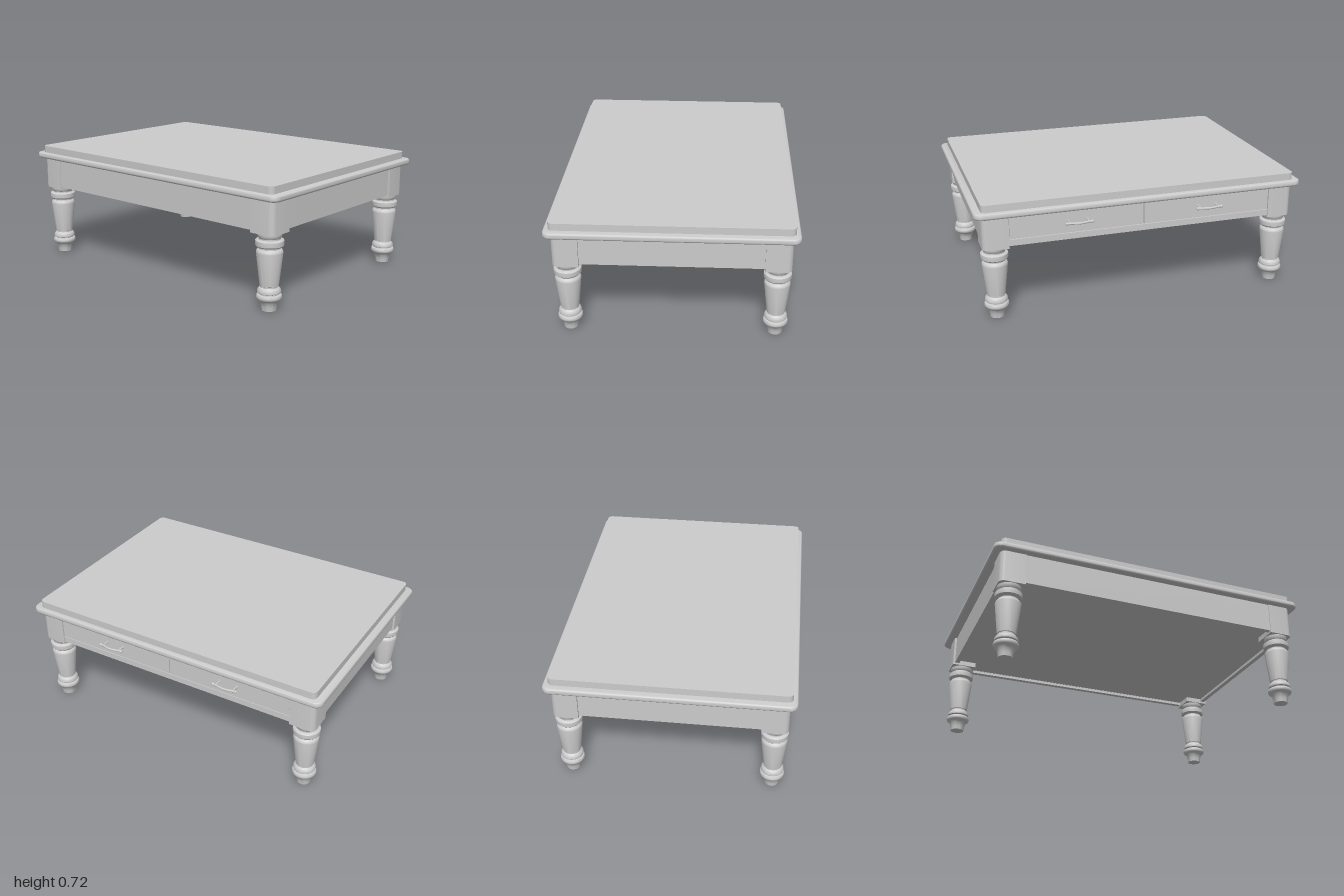
import * as THREE from 'three';
import { toCreasedNormals } from 'three/addons/utils/BufferGeometryUtils.js';

const material = new THREE.MeshStandardMaterial({ color: 0xcccccc });
const ZC = 0.007; // the table body sits slightly forward of the drawer pulls

function add(parent, name, geometry, x = 0, y = 0, z = 0) {
  const mesh = new THREE.Mesh(geometry, material);
  mesh.name = name;
  mesh.position.set(x, y, z);
  parent.add(mesh);
  return mesh;
}

// Rectangle outline with a separate radius for each corner: ++, -+, --, +-
function roundedRect(hx, hy, radii) {
  const s = new THREE.Shape();
  const corners = [[1, 1], [-1, 1], [-1, -1], [1, -1]];
  corners.forEach(([sx, sy], i) => {
    const r = radii[i];
    if (r === 0) {
      if (i === 0) s.moveTo(sx * hx, sy * hy);
      else s.lineTo(sx * hx, sy * hy);
    } else {
      const a = i * Math.PI / 2;
      s.absarc(sx * (hx - r), sy * (hy - r), r, a, a + Math.PI / 2, false);
    }
  });
  return s;
}

// Horizontal board standing on y = 0, with rounded edges when bevel > 0
function board(hx, hz, height, radii, bevel = 0) {
  const g = new THREE.ExtrudeGeometry(roundedRect(hx - bevel, hz - bevel, radii), {
    depth: height - 2 * bevel, curveSegments: 8, bevelEnabled: bevel > 0,
    bevelSize: bevel, bevelThickness: bevel, bevelSegments: 4,
  });
  g.rotateX(-Math.PI / 2).translate(0, bevel, 0);
  return toCreasedNormals(g, 0.6);
}

// Turned leg: foot, two lower rings, tapered shaft, collar and neck
function legGeometry() {
  const profile = [
    [0, 0], [0.042, 0], [0.045, 0.025], [0.052, 0.05], [0.06, 0.06],
    [0.069, 0.066], [0.073, 0.075], [0.073, 0.084], [0.069, 0.092], [0.057, 0.095],
    [0.057, 0.099], [0.066, 0.103], [0.068, 0.111], [0.066, 0.12], [0.058, 0.131],
    [0.051, 0.136], [0.051, 0.144], [0.055, 0.146], [0.076, 0.335], [0.075, 0.343],
    [0.069, 0.352], [0.061, 0.357], [0.061, 0.365], [0.074, 0.369], [0.08, 0.376],
    [0.081, 0.39], [0.08, 0.404], [0.074, 0.409], [0.063, 0.412], [0.063, 0.419],
    [0.067, 0.424], [0.071, 0.438], [0.071, 0.45], [0, 0.45],
  ].map(([r, y]) => new THREE.Vector2(r, y));
  return toCreasedNormals(new THREE.LatheGeometry(profile, 32), 0.6);
}

// Drawer pull: bowed bar with swelling ends, on two posts
function pull() {
  const group = new THREE.Group();
  const curve = new THREE.CatmullRomCurve3([
    [-0.075, -0.04], [-0.055, -0.043], [0, -0.052], [0.055, -0.043], [0.075, -0.04],
  ].map(([x, z]) => new THREE.Vector3(x, 0, z)));
  add(group, 'pullBar', new THREE.TubeGeometry(curve, 20, 0.007, 10));
  for (const s of [-1, 1]) {
    add(group, 'pullEnd', new THREE.SphereGeometry(0.01, 12, 8), s * 0.075, 0, -0.041);
    const post = new THREE.CylinderGeometry(0.006, 0.006, 0.044, 12).rotateX(Math.PI / 2);
    add(group, 'pullPost', post, s * 0.057, 0, -0.021);
    const rose = new THREE.CylinderGeometry(0.013, 0.013, 0.006, 16).rotateX(Math.PI / 2);
    add(group, 'pullRose', rose, s * 0.057, 0, -0.002);
  }
  return group;
}

export function createModel() {
  const model = new THREE.Group();
  model.name = 'coffeeTable';
  const body = new THREE.Group();
  body.name = 'tableBody';
  body.position.z = ZC;
  model.add(body);

  // Table top: moulded rim with a raised panel
  add(body, 'topRim', board(1, 0.717, 0.037, Array(4).fill(0.035), 0.012), 0, 0.644, 0);
  add(body, 'topPanel', board(0.957, 0.689, 0.045, Array(4).fill(0.03)), 0, 0.679, 0);

  // Legs with square corner blocks rounded on the outside corner
  const leg = legGeometry();
  const block = board(0.077, 0.077, 0.2, [0.035, 0, 0, 0]);
  [[1, -1], [-1, -1], [-1, 1], [1, 1]].forEach(([sx, sz], i) => {
    const x = sx * 0.88, z = sz * 0.602;
    add(body, 'leg', leg, x, 0, z);
    add(body, 'cornerBlock', block, x, 0.447, z).rotation.y = i * Math.PI / 2;
  });

  // Front and side aprons, set in a little from the blocks
  const apronY = 0.553, apronH = 0.186;
  add(body, 'frontApron', new THREE.BoxGeometry(1.62, apronH, 0.03), 0, apronY, 0.659);
  for (const s of [-1, 1]) {
    add(body, 'sideApron', new THREE.BoxGeometry(0.03, apronH, 1.06), s * 0.929, apronY, 0);
  }

  // Back: lower rail, backing and two drawer fronts separated by thin gaps
  add(body, 'drawerRail', new THREE.BoxGeometry(1.62, 0.037, 0.03), 0, 0.4785, -0.659);
  add(body, 'drawerBacking', new THREE.BoxGeometry(1.62, 0.17, 0.015), 0, 0.561, -0.65);
  for (const s of [-1, 1]) {
    add(body, 'drawerFront', new THREE.BoxGeometry(0.797, 0.144, 0.03), s * 0.4015, 0.573, -0.659);
    const handle = pull();
    handle.name = 'drawerPull';
    handle.position.set(s * 0.4, 0.572, -0.674);
    body.add(handle);
  }

  // Bottom panel, recessed just inside the aprons
  add(body, 'bottomPanel', new THREE.BoxGeometry(1.84, 0.02, 1.3), 0, 0.488, 0);
  return model;
}
